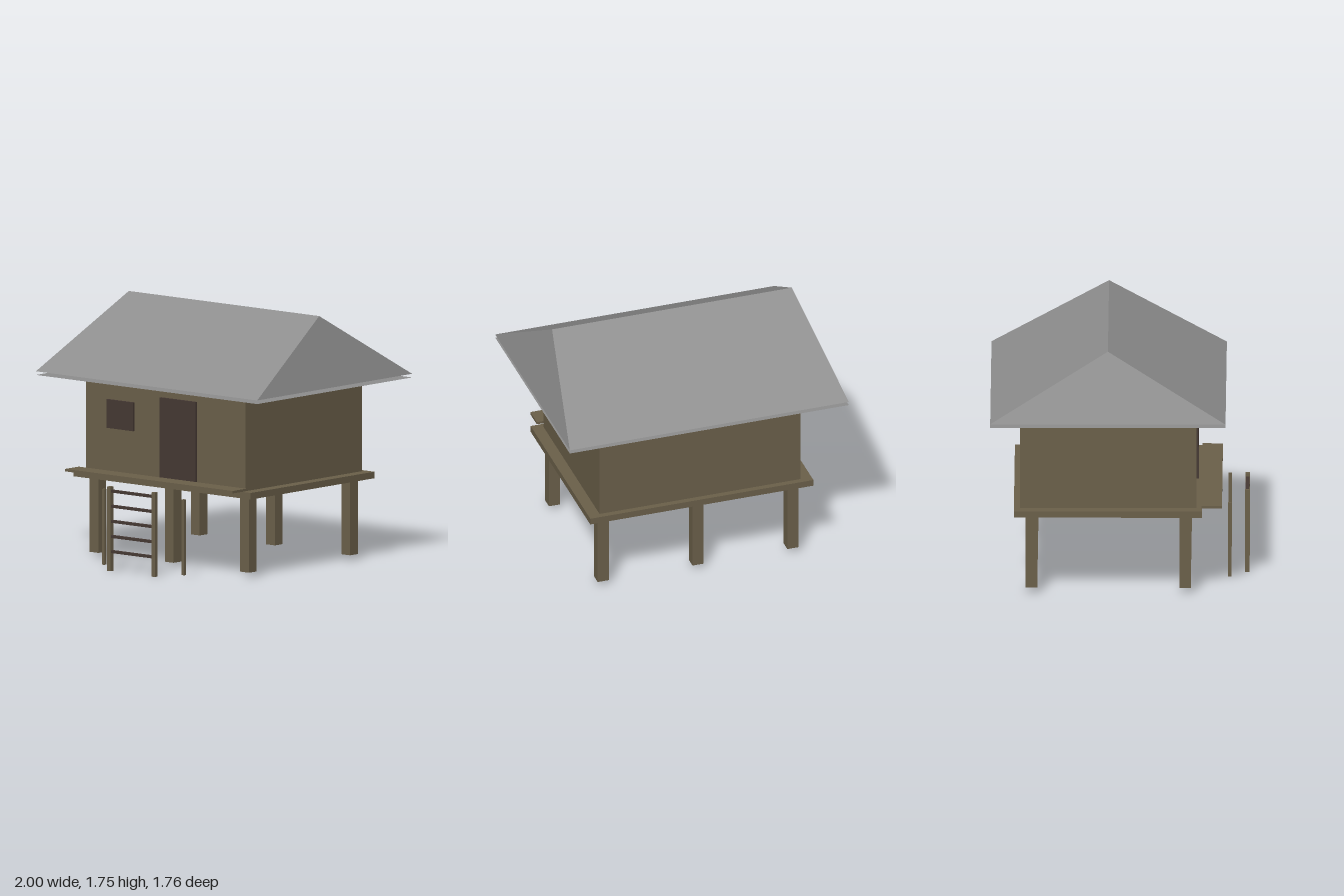
import * as THREE from 'three';

const wood = new THREE.MeshStandardMaterial({ color: 0x6b604a });
wood.name = 'weathered wood';
const darkWood = new THREE.MeshStandardMaterial({ color: 0x463934 });
darkWood.name = 'dark wood';
const roofGrey = new THREE.MeshStandardMaterial({ color: 0x8e8e8e, side: THREE.DoubleSide });
roofGrey.name = 'roof grey';

// Box given by its lower and upper limits on each axis
function box(name, material, [x0, x1], [y0, y1], [z0, z1]) {
  const mesh = new THREE.Mesh(new THREE.BoxGeometry(x1 - x0, y1 - y0, z1 - z0), material);
  mesh.position.set((x0 + x1) / 2, (y0 + y1) / 2, (z0 + z1) / 2);
  mesh.name = name;
  return mesh;
}

// Hipped roof: two long slopes and two steep triangular ends
function hippedRoof() {
  const y = 1.275, top = 1.75, front = 0.72, back = -0.88, ridge = -0.08;
  const a = [-1, y, front], b = [1, y, front], c = [1, y, back], d = [-1, y, back];
  const e = [-0.86, top, ridge], f = [0.86, top, ridge];
  const triangles = [a, b, f, a, f, e, b, c, f, c, d, e, c, e, f, d, a, e];
  const geometry = new THREE.BufferGeometry();
  geometry.setAttribute('position', new THREE.Float32BufferAttribute(triangles.flat(), 3));
  geometry.computeVertexNormals();
  const mesh = new THREE.Mesh(geometry, roofGrey);
  mesh.name = 'roof';
  return mesh;
}

export function createModel() {
  const hut = new THREE.Group();
  hut.name = 'stiltHut';

  // House body on its platform
  hut.add(
    box('platform', wood, [-0.8, 0.8], [0.555, 0.6], [-0.72, 0.56]),
    box('walls', wood, [-0.72, 0.72], [0.6, 1.275], [-0.68, 0.52]),
    box('porchPlank', wood, [-0.757, 0.757], [0.608, 0.625], [0.555, 0.695]),
    box('door', darkWood, [-0.043, 0.28], [0.612, 1.17], [0.515, 0.535]),
    box('window', darkWood, [-0.525, -0.283], [0.913, 1.11], [0.515, 0.535]),
    hippedRoof()
  );

  // Flat sheet hanging just below the eaves
  const soffit = new THREE.Mesh(new THREE.PlaneGeometry(2, 1.6), roofGrey);
  soffit.rotation.x = -Math.PI / 2;
  soffit.position.set(0, 1.25, -0.08);
  soffit.name = 'soffit';
  hut.add(soffit);

  // Two rows of three stilts
  for (const x of [-0.68, 0, 0.68]) {
    for (const z of [0.445, -0.6]) {
      hut.add(box('stilt', wood, [x - 0.04, x + 0.04], [0.035, 0.555], [z - 0.04, z + 0.04]));
    }
  }

  // Ladder with slim handrail posts behind it
  const ladder = new THREE.Group();
  ladder.name = 'ladder';
  for (const side of [-1, 1]) {
    const x = side * 0.2, p = side * 0.36;
    ladder.add(box('ladderRail', wood, [x - 0.015, x + 0.015], [0, 0.58], [0.85, 0.88]));
    hut.add(box('handrailPost', wood, [p - 0.011, p + 0.011], [0.013, 0.533], [0.735, 0.757]));
  }
  for (let i = 0; i < 5; i++) {
    const y = 0.134 + i * 0.104;
    ladder.add(box('rung', darkWood, [-0.187, 0.187], [y - 0.009, y + 0.009], [0.853, 0.877]));
  }
  hut.add(ladder);

  return hut;
}
